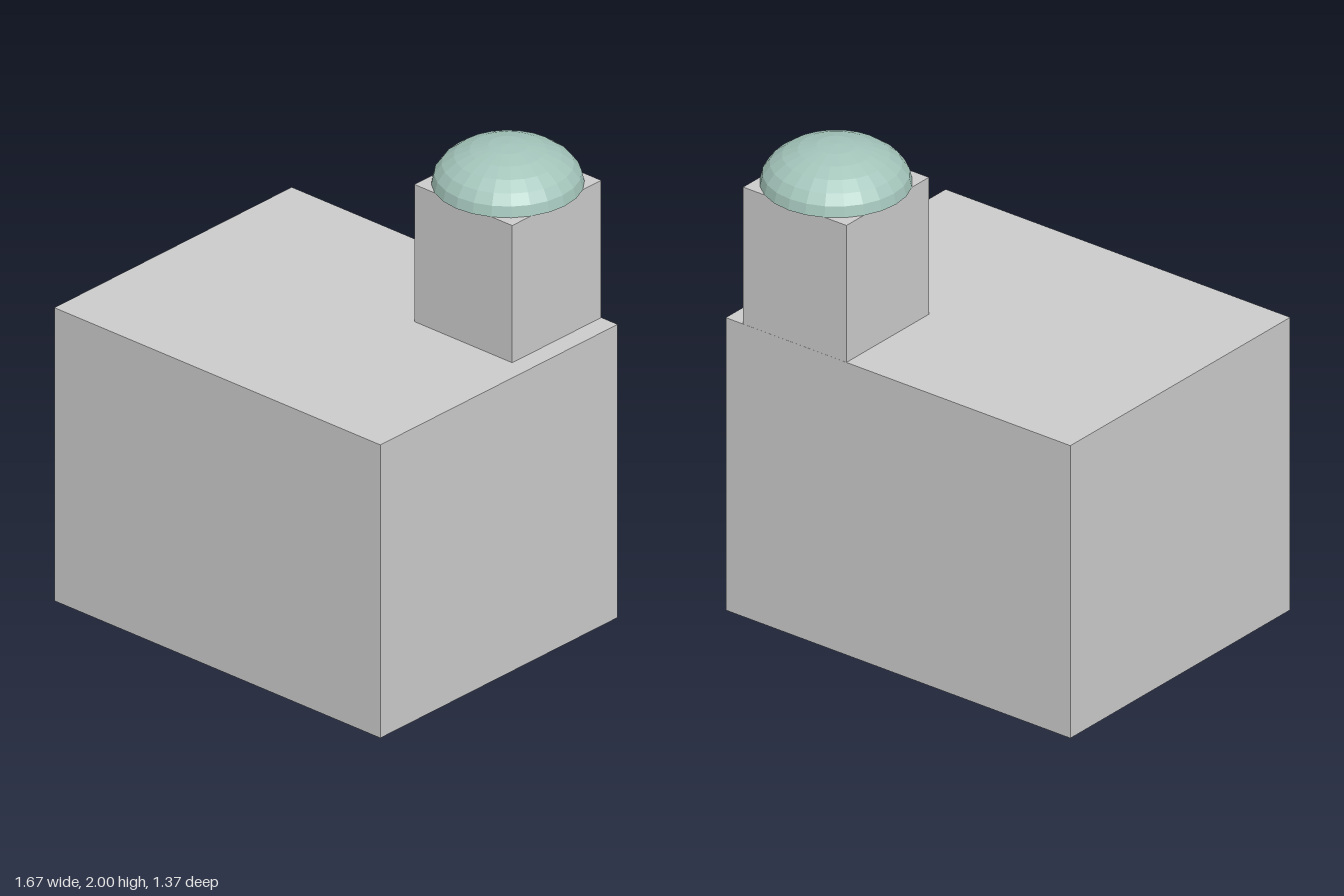
import * as THREE from 'three';

export function createModel() {
  const group = new THREE.Group();
  const grey = new THREE.MeshStandardMaterial({ color: 0xcccccc, flatShading: true });
  const green = new THREE.MeshStandardMaterial({
    color: 0xa3c4ba, flatShading: true, side: THREE.DoubleSide,
  });

  const add = (name, geometry, material, x, y, z) => {
    const mesh = new THREE.Mesh(geometry, material);
    mesh.name = name;
    mesh.position.set(x, y, z);
    group.add(mesh);
    return mesh;
  };

  const baseHeight = 1.25, towerHeight = 0.585, rimY = 1.835;

  // Main block and the square tower flush with its back wall
  add('mainBlock', new THREE.BoxGeometry(1.667, baseHeight, 1.333), grey, 0, baseHeight / 2, 0.02);
  add('tower', new THREE.BoxGeometry(0.5, towerHeight, 0.5), grey, 0.5, baseHeight + towerHeight / 2, -0.396);

  // Flattened half-sphere dome, slightly overhanging the tower walls
  const radius = 0.29;
  const dome = add('dome',
    new THREE.SphereGeometry(radius, 24, 6, 0, Math.PI * 2, 0, Math.PI / 2),
    green, 0.5, rimY, -0.396);
  dome.scale.y = (2 - rimY) / radius;

  return group;
}
